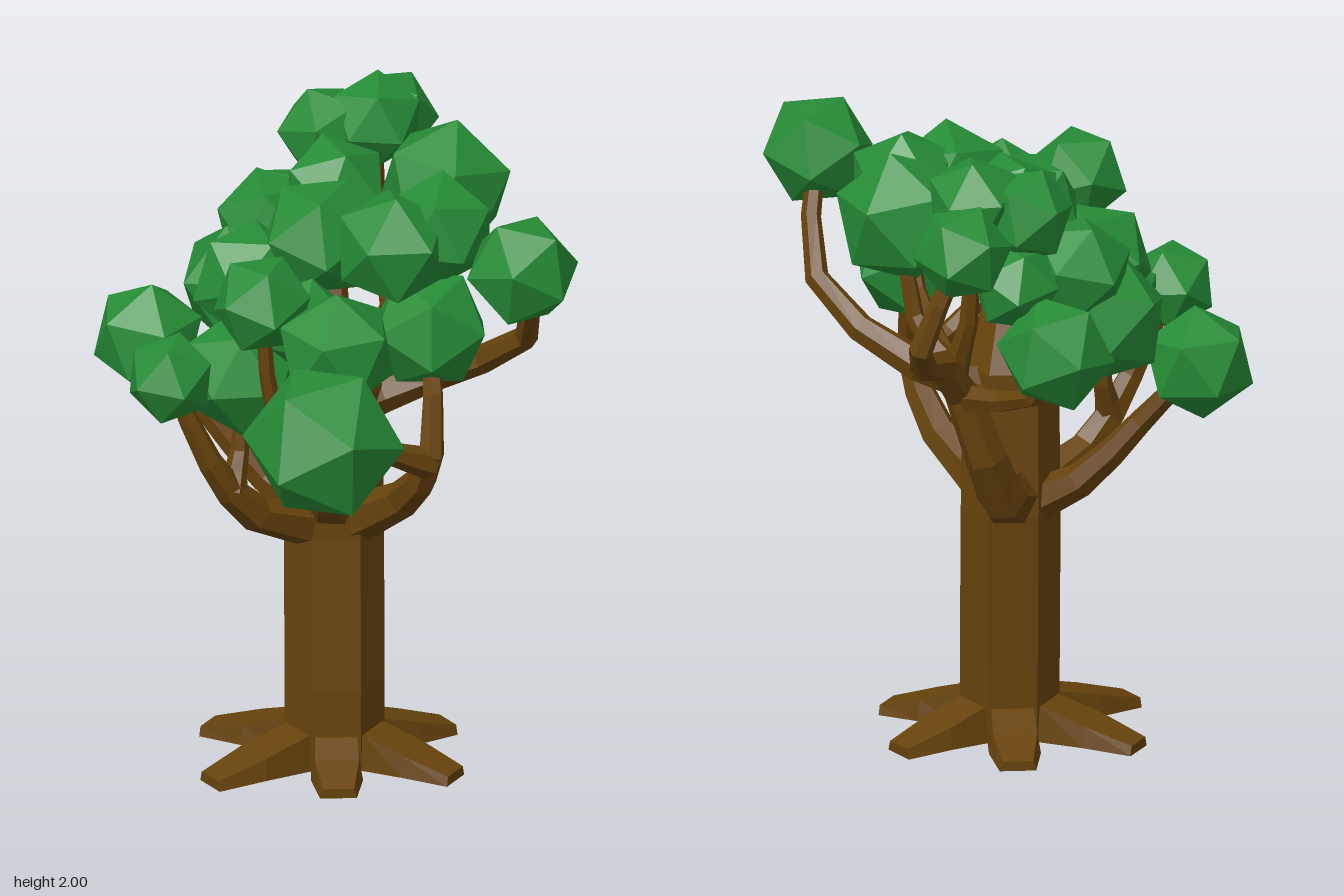
import * as THREE from 'three';

const bark = new THREE.MeshStandardMaterial({ color: 0x67430c, flatShading: true });
const leaf = new THREE.MeshStandardMaterial({ color: 0x268c36, flatShading: true });
const vec = (x, y, z) => new THREE.Vector3(x, y, z);

// Skins a list of equal-sized rings (counter-clockwise seen from the far end) and caps both ends.
function loft(rings) {
  const n = rings[0].length, idx = [];
  for (let i = 0; i < rings.length - 1; i++) {
    for (let j = 0; j < n; j++) {
      const a = i * n + j, b = i * n + (j + 1) % n;
      idx.push(a, b, b + n, a, b + n, a + n);
    }
  }
  const last = (rings.length - 1) * n;
  for (let j = 1; j < n - 1; j++) idx.push(0, j + 1, j, last, last + j, last + j + 1);
  const g = new THREE.BufferGeometry().setFromPoints(rings.flat());
  g.setIndex(idx);
  g.computeVertexNormals();
  return g;
}

// Tapered, six-sided limb along a curve.
function limb(curve, r0, r1, steps) {
  const side = vec(1, 0, 0);
  return loft(Array.from({ length: steps + 1 }, (_, i) => {
    const u = i / steps, p = curve.getPoint(u), t = curve.getTangent(u);
    if (i === 0 && Math.abs(t.x) > 0.9) side.set(0, 0, 1);
    side.addScaledVector(t, -side.dot(t)).normalize();
    const up = t.clone().cross(side);
    const r = THREE.MathUtils.lerp(r0, r1, Math.sqrt(u));
    return Array.from({ length: 6 }, (_, j) => {
      const a = j / 6 * Math.PI * 2;
      return p.clone().addScaledVector(side, r * Math.cos(a)).addScaledVector(up, r * Math.sin(a));
    });
  }));
}

export function createModel() {
  const tree = new THREE.Group();
  tree.name = 'tree';
  const add = (name, geometry, material, parent = tree) => {
    const m = new THREE.Mesh(geometry, material);
    m.name = name;
    parent.add(m);
    return m;
  };
  const group = name => {
    const g = new THREE.Group();
    g.name = name;
    tree.add(g);
    return g;
  };

  // Trunk: horizontal hexagons [y, z, radius], leaning back and then upright
  const trunk = [[0.02, -0.05, 0.15], [0.27, -0.06, 0.15], [0.75, -0.1, 0.15],
    [1.2, -0.09, 0.145], [1.43, -0.05, 0.06]];
  add('trunk', loft(trunk.map(([y, z, r]) => Array.from({ length: 6 }, (_, j) => {
    const a = -j * Math.PI / 3;
    return vec(r * Math.cos(a), y, z + r * Math.sin(a));
  }))), bark);

  // Roots: one from each trunk face, sections [distance, half width, bottom, top]
  const roots = group('roots');
  [0.33, 0.41, 0.4, 0.37, 0.43, 0.44].forEach((len, i) => {
    const sections = [[0.1, 0.075, 0.02, 0.13], [0.135, 0.075, 0.02, 0.13],
      [len * 0.65, 0.078, 0.025, 0.09], [len, 0.055, 0.015, 0.045]];
    const root = add('root', loft(sections.map(([d, w, b, t]) => [
      vec(-w, b, d), vec(w, b, d), vec(w * 0.85, t, d), vec(-w * 0.85, t, d)])), bark, roots);
    root.position.z = -0.05;
    root.rotation.y = i * Math.PI / 3;
  });

  // Leaf clumps: [x, y, z, radius], each turned differently
  const foliage = group('foliage');
  const clumps = [
    [-0.06, 1.35, 0.71, 0.245], [-0.01, 1.53, 0.43, 0.19], [0.55, 1.74, 0.33, 0.175],
    [0.17, 1.72, 0.08, 0.185], [0.31, 1.74, 0, 0.18], [0.34, 1.75, -0.32, 0.21],
    [0.14, 1.87, -0.55, 0.15], [-0.01, 1.83, -0.56, 0.15], [0.19, 1.79, -0.77, 0.15],
    [-0.09, 1.46, -0.76, 0.18], [0.02, 1.63, -0.63, 0.14], [-0.55, 1.27, -0.33, 0.175],
    [-0.26, 1.43, -0.36, 0.205], [-0.18, 1.6, -0.41, 0.17], [0.01, 1.76, -0.28, 0.17],
    [-0.25, 1.53, -0.13, 0.185], [-0.04, 1.68, -0.1, 0.19], [-0.1, 1.5, 0.14, 0.145],
    [-0.28, 1.31, 0.06, 0.195], [-0.23, 1.64, 0.32, 0.155], [-0.5, 1.34, 0.17, 0.14],
    [0.28, 1.46, 0.1, 0.19],
  ];
  const centres = clumps.map(([x, y, z, r], i) => {
    const c = add('leafClump', new THREE.IcosahedronGeometry(r, 0), leaf, foliage);
    c.position.set(x, y, z);
    c.rotation.set(i * 1.7 + 0.3, i * 2.3 + 0.4, i * 0.9);
    return c.position;
  });

  // Branches: leave the trunk at a height, pass the elbows and end inside a clump.
  // A fork [fraction along the branch, clump] first spreads outwards, then turns up.
  const branches = group('branches');
  function branch(height, elbows, clump, radius, forks) {
    const curve = new THREE.CatmullRomCurve3([vec(0, height, -0.1), ...elbows, centres[clump]]);
    add('branch', limb(curve, radius, 0.025, elbows.length * 3), bark, branches);
    for (const [at, target] of forks) {
      const start = curve.getPoint(at), end = centres[target];
      const elbow = start.clone().lerp(end, 0.75);
      elbow.y = THREE.MathUtils.lerp(start.y, end.y, 0.32);
      add('fork', limb(new THREE.CatmullRomCurve3([start, elbow, end]), 0.05, 0.02, 4), bark, branches);
    }
  }
  // front left, front right, long front
  branch(0.75, [vec(0.2, 0.91, 0.1), vec(0.28, 1.12, 0.26)], 21, 0.1, [[0.62, 1]]);
  branch(0.76, [vec(-0.24, 0.86, 0.08), vec(-0.38, 1.06, 0.16)], 20, 0.1, [[0.5, 18]]);
  branch(0.8, [vec(-0.04, 1, 0.22), vec(-0.05, 1.05, 0.46)], 0, 0.1, [[0.33, 19]]);
  // high left
  branch(1.12, [vec(0.28, 1.21, -0.13), vec(0.57, 1.42, 0.08)], 2, 0.09, []);
  // back limb carrying most of the high crown
  branch(0.79, [vec(0.05, 0.88, -0.37), vec(0.2, 1.3, -0.46), vec(0.32, 1.45, -0.76)], 8, 0.12,
    [[0.5, 5], [0.5, 4], [0.5, 6], [0.44, 9]]);
  // back right
  branch(0.74, [vec(-0.2, 0.86, -0.21), vec(-0.38, 1.06, -0.26)], 11, 0.09, []);
  // leader rising from the trunk top
  branch(1.15, [vec(0, 1.45, -0.1)], 14, 0.09, [[0.3, 12], [0.4, 15]]);
  return tree;
}
